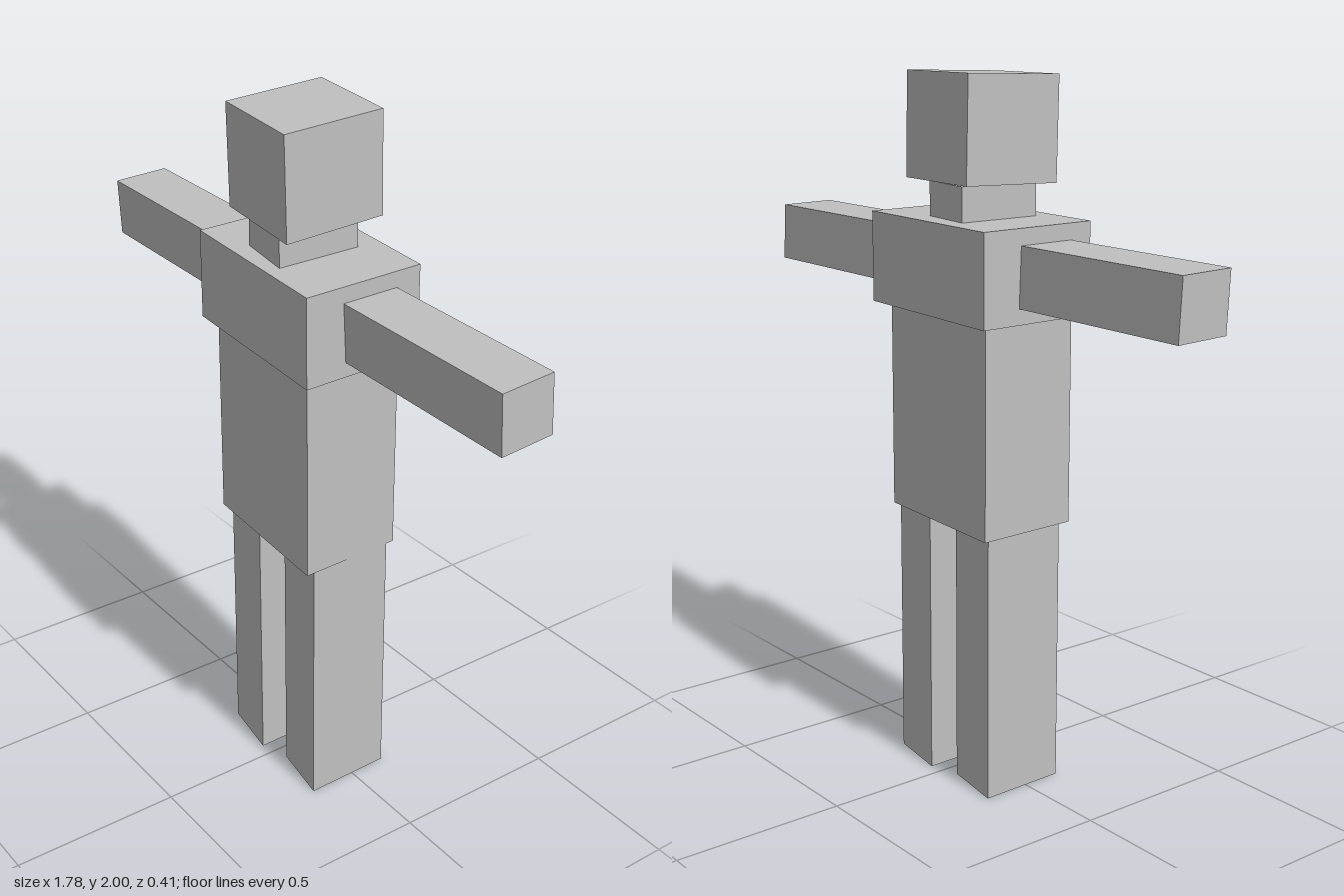
import * as THREE from 'three';

const grey = new THREE.MeshStandardMaterial({ color: 0xc0c0c0 });
grey.name = 'plain grey';

// A slightly skewed block, given by its centre and three edge vectors.
function block(name, centre, xEdge, yEdge, zEdge) {
  const geometry = new THREE.BoxGeometry(1, 1, 1);
  const skew = new THREE.Matrix4().makeBasis(
    new THREE.Vector3(...xEdge),
    new THREE.Vector3(...yEdge),
    new THREE.Vector3(...zEdge)
  );
  geometry.applyMatrix4(skew);
  const mesh = new THREE.Mesh(geometry, grey);
  mesh.name = name;
  mesh.position.set(...centre);
  return mesh;
}

export function createModel() {
  const figure = new THREE.Group();
  figure.name = 'blockFigure';

  // Head, tipped forward a little, on a short neck
  figure.add(block('head', [-0.02, 1.851, -0.002], [0.313, -0.002, 0.035], [0, 0.287, 0.006], [0.005, -0.01, 0.31]));
  figure.add(block('neck', [-0.02, 1.655, 0.002], [0.18, 0, 0.028], [0, 0.1, 0], [0.002, 0, 0.255]));

  // Trunk
  figure.add(block('chest', [-0.01, 1.483, -0.004], [0.55, 0, 0.038], [0, 0.254, 0], [0.01, 0, 0.37]));
  figure.add(block('torso', [-0.007, 1.061, 0.002], [0.463, 0, 0.03], [0, 0.592, 0], [0.01, 0, 0.305]));

  // Arms, held straight out
  figure.add(block('leftArm', [0.57, 1.482, 0], [0.62, 0, 0.016], [-0.003, 0.165, 0.006], [0.017, 0, 0.175]));
  figure.add(block('rightArm', [-0.577, 1.482, -0.005], [0.61, 0, 0.016], [-0.003, 0.165, 0.006], [0.015, 0, 0.175]));

  // Legs
  for (const [name, side] of [['leftLeg', 1], ['rightLeg', -1]]) {
    figure.add(block(name, [side * 0.132, 0.383, 0.002], [0.18, 0, 0.028], [0, 0.766, 0], [0.004, 0, 0.255]));
  }

  return figure;
}
